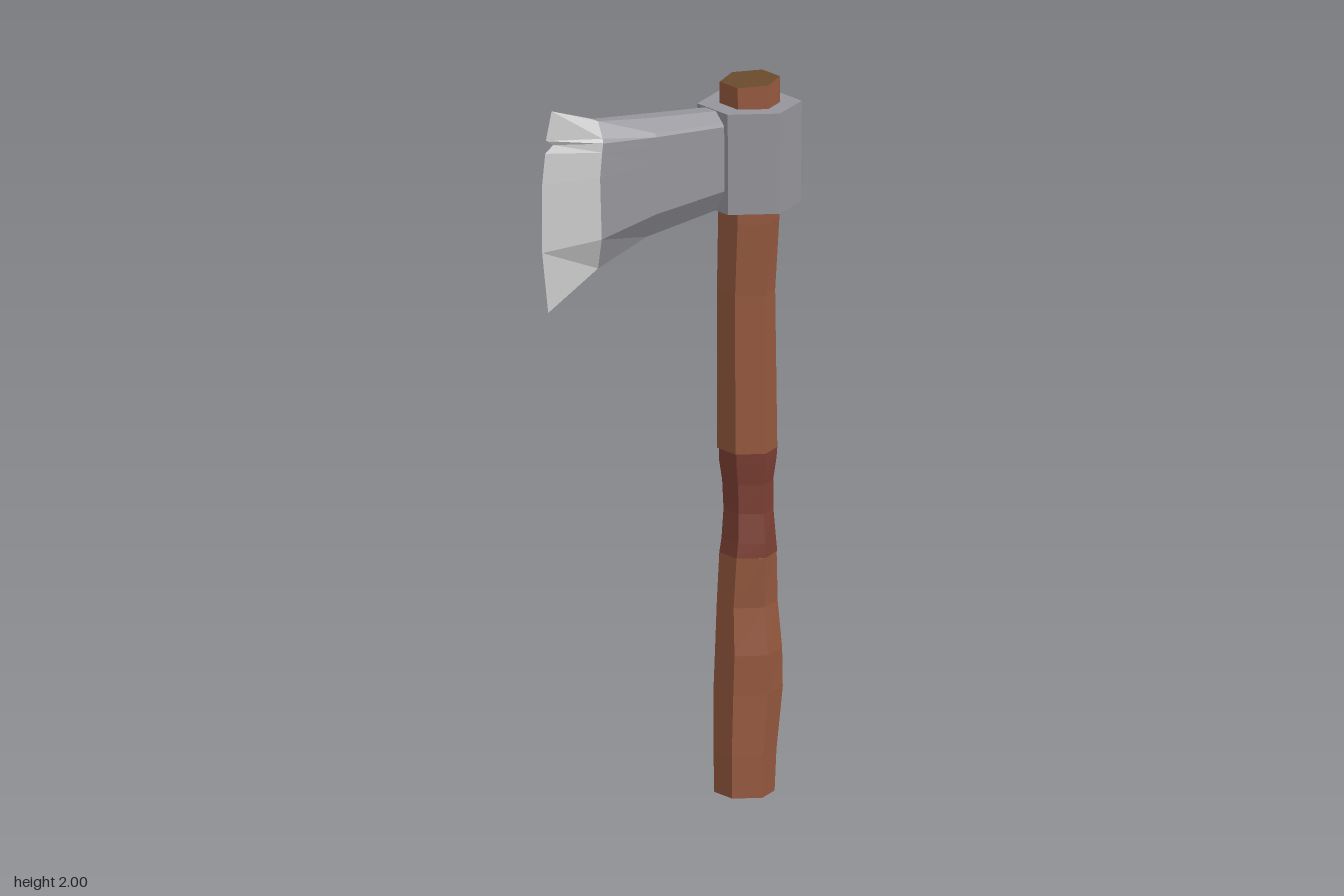
import * as THREE from 'three';

// Skin a series of closed rings of [x, y, z] points, counter-clockwise about the direction of travel
function loft(name, rings, color) {
  const pos = [], n = rings[0].length;
  for (let i = 0; i < rings.length - 1; i++) {
    for (let j = 0; j < n; j++) {
      const k = (j + 1) % n;
      const a = rings[i][j], b = rings[i][k], c = rings[i + 1][k], d = rings[i + 1][j];
      pos.push(...a, ...b, ...c, ...a, ...c, ...d);
    }
  }
  return flatMesh(name, pos, color);
}

// Flat fan closing one ring
function cap(name, ring, color, reversed) {
  const mid = [0, 1, 2].map(k => ring.reduce((s, p) => s + p[k], 0) / ring.length);
  const pos = [];
  ring.forEach((p, j) => {
    const q = ring[(j + 1) % ring.length];
    pos.push(...mid, ...(reversed ? q : p), ...(reversed ? p : q));
  });
  return flatMesh(name, pos, color);
}

function flatMesh(name, pos, color) {
  const geo = new THREE.BufferGeometry();
  geo.setAttribute('position', new THREE.Float32BufferAttribute(pos, 3));
  geo.computeVertexNormals();
  const mesh = new THREE.Mesh(geo, new THREE.MeshStandardMaterial({ color, flatShading: true }));
  mesh.name = name;
  return mesh;
}

// Six-sided handle ring from its extents, with points along z
function hexRing([y, x0, x1, z0, z1]) {
  const ring = [];
  for (let j = 0; j < 6; j++) {
    const a = j * Math.PI / 3;
    ring.push([
      (x0 + x1) / 2 + (x1 - x0) / 2 * Math.sin(a) / Math.sin(Math.PI / 3),
      y,
      (z0 + z1) / 2 + (z1 - z0) / 2 * Math.cos(a),
    ]);
  }
  return ring;
}

// Blade ring from one side's outline of [x, y, half thickness], top to bottom
function bladeRing(side, zMid) {
  const back = side.map(([x, y, t]) => [x, y, zMid - t]);
  const front = side.map(([x, y, t]) => [x, y, zMid + t]).reverse();
  return [...back, ...front];
}

export function createModel() {
  const group = new THREE.Group();
  group.name = 'axe';
  const wood = 0x96593f, endGrain = 0x6a4b2c, leather = 0x7d4034;
  const steel = 0x96959b, honed = 0xbdbdbd;

  // Handle: y, min x, max x, min z, max z
  const lower = [
    [0.005, 0.19, 0.33, -0.08, 0.085],
    [0.12, 0.19, 0.337, -0.085, 0.085],
    [0.29, 0.195, 0.358, -0.095, 0.088],
    [0.40, 0.197, 0.354, -0.09, 0.09],
    [0.53, 0.202, 0.347, -0.083, 0.073],
    [0.67, 0.206, 0.338, -0.078, 0.082],
  ].map(hexRing);
  const grip = [
    [0.67, 0.206, 0.34, -0.078, 0.082],
    [0.71, 0.212, 0.336, -0.075, 0.08],
    [0.79, 0.219, 0.333, -0.072, 0.069],
    [0.87, 0.217, 0.333, -0.077, 0.07],
    [0.93, 0.209, 0.341, -0.085, 0.078],
    [0.96, 0.207, 0.342, -0.082, 0.08],
  ].map(hexRing);
  const upper = [
    [0.96, 0.204, 0.342, -0.088, 0.082],
    [1.40, 0.204, 0.336, -0.088, 0.08],
    [1.60, 0.207, 0.345, -0.09, 0.09],
    [1.80, 0.21, 0.348, -0.088, 0.088],
    [1.985, 0.21, 0.35, -0.083, 0.083],
  ].map(hexRing);
  upper[4].forEach(p => { p[1] += (p[0] - 0.28) * 0.08; });
  group.add(
    loft('lowerHandle', lower, wood),
    loft('gripWrap', grip, leather),
    loft('upperHandle', upper, wood),
    cap('handleBottom', lower[0], endGrain, true),
    cap('handleTop', upper[4], endGrain, false),
  );

  // Hexagonal socket around the handle
  const socket = new THREE.Mesh(
    new THREE.CylinderGeometry(0.141, 0.138, 0.28, 6),
    new THREE.MeshStandardMaterial({ color: steel, flatShading: true }),
  );
  socket.name = 'headSocket';
  socket.position.set(0.28, 1.78, -0.002);
  group.add(socket);

  // Blade body: bevelled sections flaring away from the socket
  const section = (x, yTop, yBottom, flat, wide, bow = 0) => {
    const h = yTop - yBottom;
    return [[0, flat], [0.1, wide * 0.9], [0.13, wide], [0.19, wide], [0.36, wide], [0.78, wide], [1, flat]]
      .map(([f, t]) => [x - bow * Math.sin(Math.PI * f), yTop - f * h, t]);
  };
  const shoulder = bladeRing(section(-0.225, 1.95, 1.54, 0.015, 0.05, 0.02), -0.008);
  const body = [
    bladeRing(section(0.19, 1.918, 1.642, 0.024, 0.062), -0.01),
    bladeRing(section(0.158, 1.918, 1.642, 0.024, 0.062), -0.01),
    bladeRing(section(-0.07, 1.935, 1.605, 0.024, 0.069), -0.01),
    shoulder,
  ];
  // Cutting edge with a small nick near the top
  const edge = bladeRing([
    [-0.373, 2.0, 0], [-0.392, 1.92, 0], [-0.368, 1.905, 0], [-0.394, 1.885, 0],
    [-0.404, 1.80, 0], [-0.404, 1.61, 0], [-0.384, 1.44, 0],
  ], 0);
  group.add(
    loft('bladeBody', body, steel),
    loft('cuttingEdge', [shoulder, edge], honed),
  );
  return group;
}
